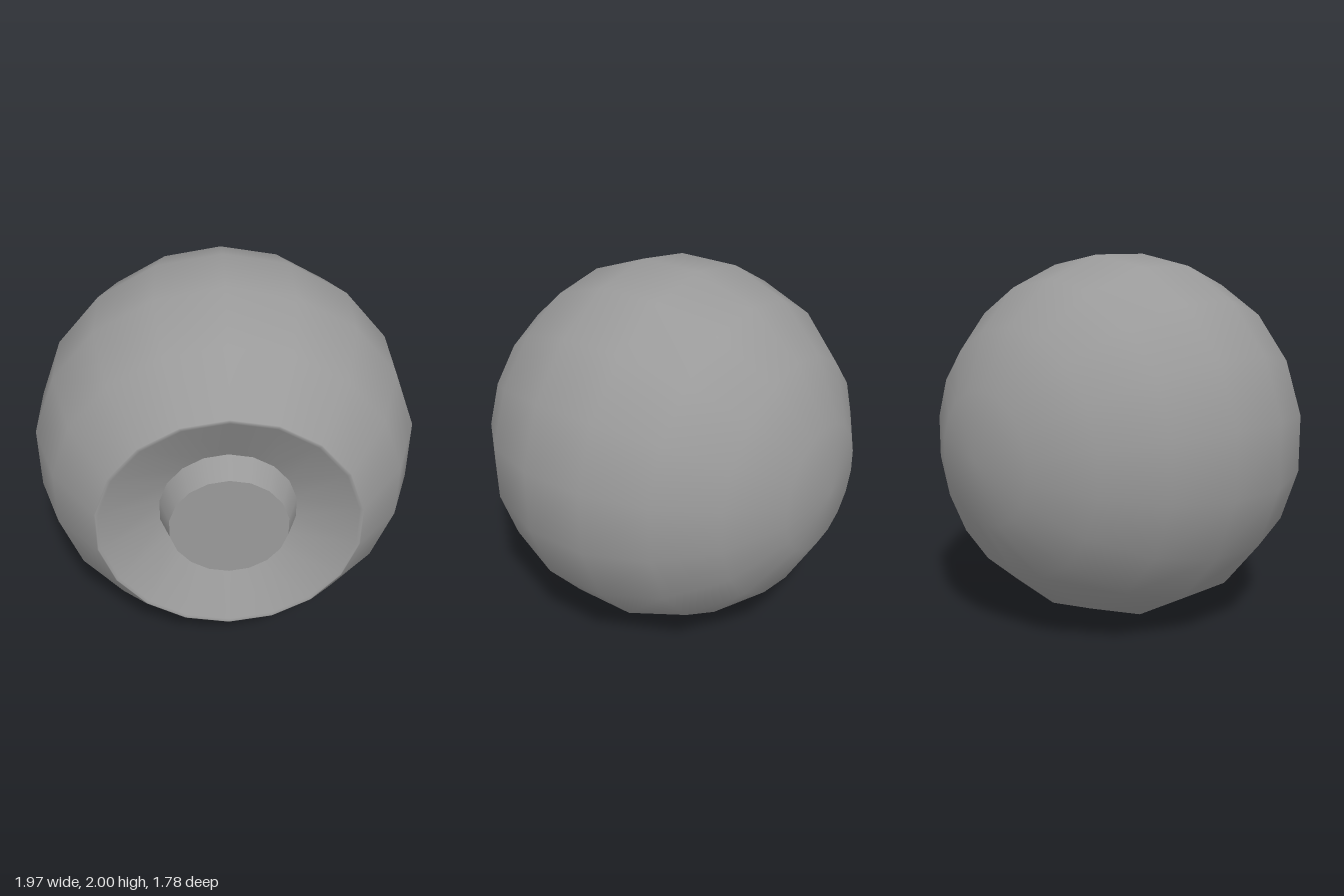
import * as THREE from 'three';

const SIDES = 18;
const RADIUS = 1.0154;
const CENTRE_Z = 0.125;

// Revolves [radius, z] points about the z axis, from back to front.
function turned(name, points, material) {
  const profile = points.map(([r, z]) => new THREE.Vector2(r, z));
  const geometry = new THREE.LatheGeometry(profile, SIDES);
  // Smooth shading where the profile starts on the axis.
  if (points[0][0] === 0) {
    for (let i = 0; i <= SIDES; i++) geometry.attributes.normal.setXYZ(i * points.length, 0, -1, 0);
  }
  geometry.rotateX(Math.PI / 2);
  const mesh = new THREE.Mesh(geometry, material);
  mesh.name = name;
  return mesh;
}

export function createModel() {
  const group = new THREE.Group();
  group.name = 'eyeball';
  group.position.y = 1;
  const grey = new THREE.MeshStandardMaterial({ color: 0x9a9a9a });

  // Ball in 20 degree rings, open at the front.
  const ball = [[0, CENTRE_Z - RADIUS]];
  for (let i = 1; i <= 6; i++) {
    const a = (i * Math.PI) / 9;
    ball.push([RADIUS * Math.sin(a), CENTRE_Z - RADIUS * Math.cos(a)]);
  }
  // Softened rim, then the sunken iris cone.
  ball.push([0.657, 0.89], [0.65, 0.894], [0.636, 0.888], [0.345, 0.74]);
  group.add(turned('ballAndIris', ball, grey));

  // Tapered pupil standing in the middle of the iris.
  group.add(turned('pupilSide', [[0.345, 0.74], [0.295, 0.877]], grey));
  group.add(turned('pupilFace', [[0.295, 0.877], [0, 0.877]], grey));

  const root = new THREE.Group();
  root.add(group);
  return root;
}
